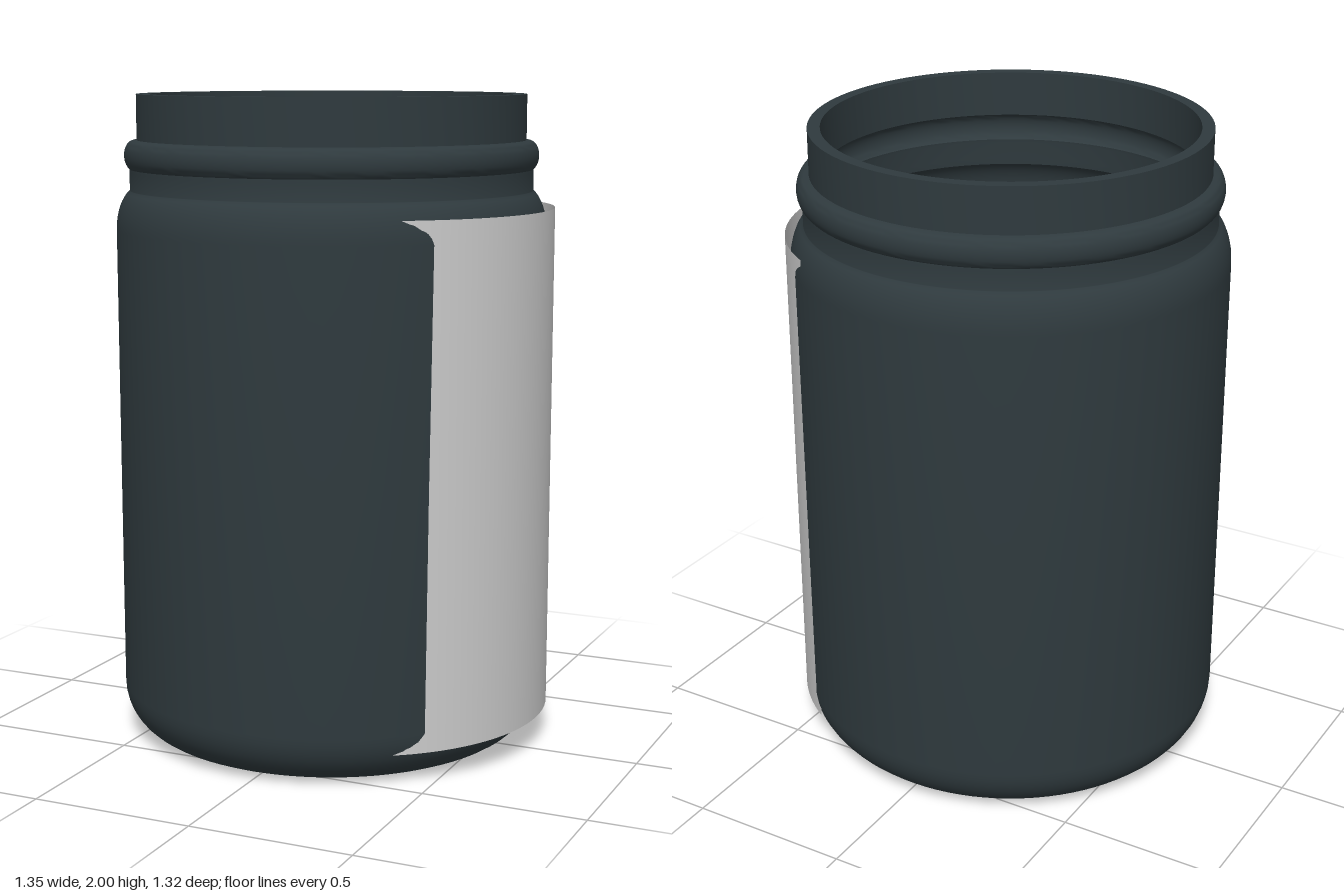
import * as THREE from 'three';
import { toCreasedNormals } from 'three/addons/utils/BufferGeometryUtils.js';

// Points of an elliptical arc in the profile plane, angles in degrees
function arc(cx, cy, rx, ry, from, to, steps) {
  const points = [];
  for (let i = 0; i <= steps; i++) {
    const a = THREE.MathUtils.degToRad(from + (to - from) * i / steps);
    points.push(new THREE.Vector2(cx + rx * Math.cos(a), cy + ry * Math.sin(a)));
  }
  return points;
}

const at = (x, y) => new THREE.Vector2(x, y);

export function createModel() {
  const group = new THREE.Group();

  // Hollow jar: up the outside, over the rim and down the inside
  const profile = [
    at(0, 0),
    ...arc(0.51, 0.16, 0.15, 0.16, -90, 0, 10),
    ...arc(0.592, 1.59, 0.07, 0.13, 0, 66, 8),
    at(0.62, 1.71), at(0.62, 1.765),
    ...arc(0.608, 1.815, 0.028, 0.045, -65, 80, 10),
    at(0.597, 1.862), at(0.597, 2),
    at(0.559, 2), at(0.559, 1.862),
    ...arc(0.566, 1.815, 0.03, 0.045, 80, -65, 10),
    at(0.58, 1.765), at(0.58, 1.71),
    ...arc(0.555, 1.59, 0.065, 0.11, 66, 0, 8),
    ...arc(0.5, 0.16, 0.12, 0.12, 0, -90, 10),
    at(0, 0.04),
  ];
  const jar = new THREE.Mesh(
    toCreasedNormals(new THREE.LatheGeometry(profile, 96), 0.6),
    new THREE.MeshStandardMaterial({ color: 0x2f3a3e })
  );
  jar.name = 'jar';
  jar.position.set(-0.015, 0, 0.002);
  group.add(jar);

  // Curved label, tighter than the jar so its side edges sink into the wall
  const halfAngle = THREE.MathUtils.degToRad(58.4);
  const label = new THREE.Mesh(
    new THREE.CylinderGeometry(0.599, 0.599, 1.56, 40, 1, true, Math.PI / 2 - halfAngle, halfAngle * 2),
    new THREE.MeshStandardMaterial({ color: 0xcccccc, side: THREE.DoubleSide })
  );
  label.name = 'label';
  label.position.set(0.076, 0.88, -0.004);
  group.add(label);

  return group;
}
